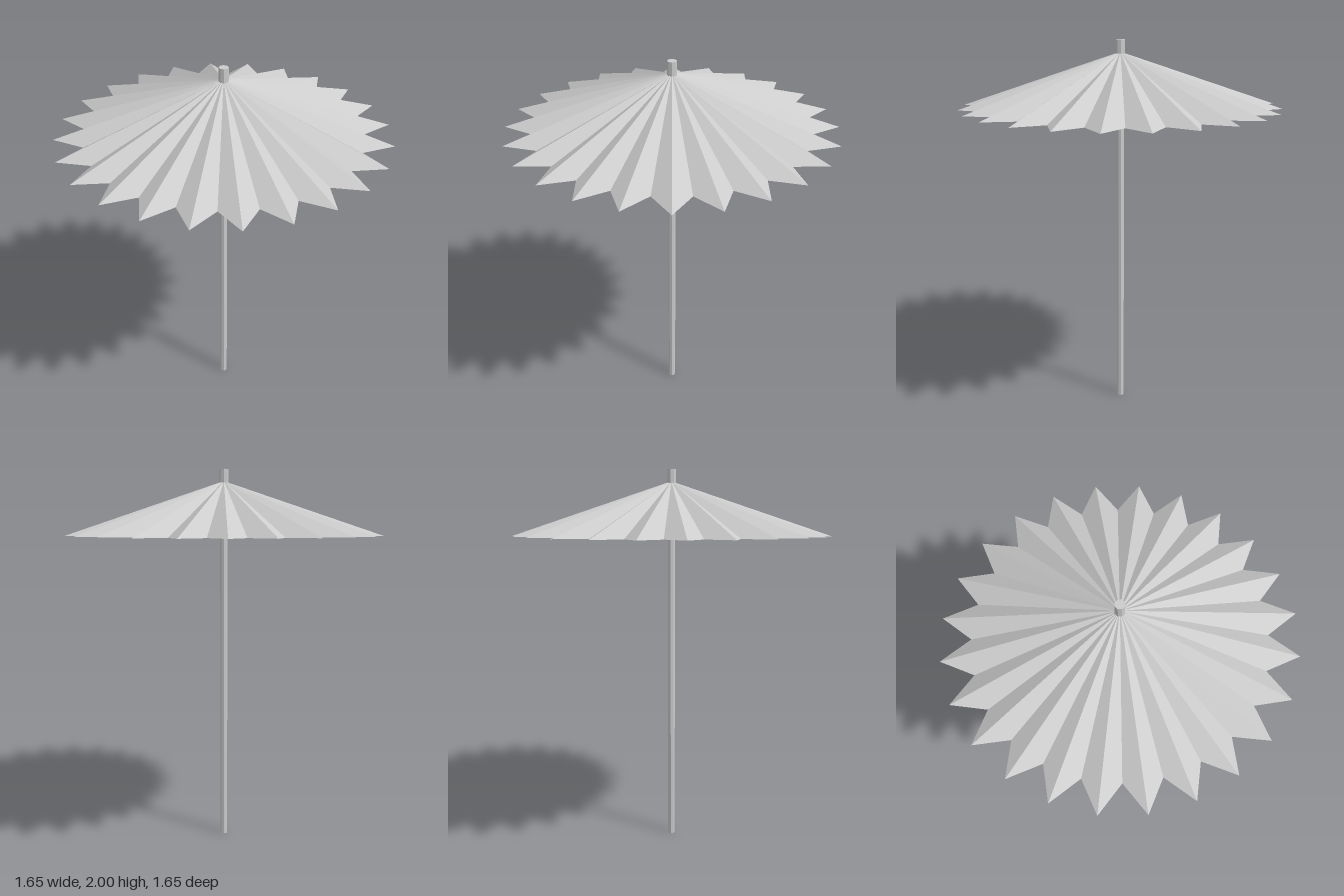
import * as THREE from 'three';

export function createModel() {
  const model = new THREE.Group();
  const grey = new THREE.MeshStandardMaterial({ color: 0xcccccc });
  grey.name = 'light grey';

  const add = (name, geometry, y) => {
    const flat = geometry.toNonIndexed();
    flat.computeVertexNormals(); // faceted normals
    const mesh = new THREE.Mesh(flat, grey);
    mesh.name = name;
    mesh.position.y = y;
    model.add(mesh);
  };

  // Pole and the slightly wider cap on top
  add('pole', new THREE.CylinderGeometry(0.019, 0.019, 1.67, 8), 0.835);
  add('finial', new THREE.CylinderGeometry(0.024, 0.024, 0.08, 8), 1.96);

  // Pleated canopy: a cone with every second rib pulled inward, closed below
  const points = 24;
  const canopy = new THREE.CylinderGeometry(0.022, 0.825, 0.27, points * 2);
  const pos = canopy.attributes.position;
  for (let i = 0; i < pos.count; i++) {
    const x = pos.getX(i), z = pos.getZ(i);
    const rib = Math.round((Math.atan2(x, z) / Math.PI) * points);
    if (rib % 2 !== 0) pos.setXYZ(i, x * 0.825, pos.getY(i), z * 0.825);
  }
  add('canopy', canopy, 1.797);

  return model;
}
